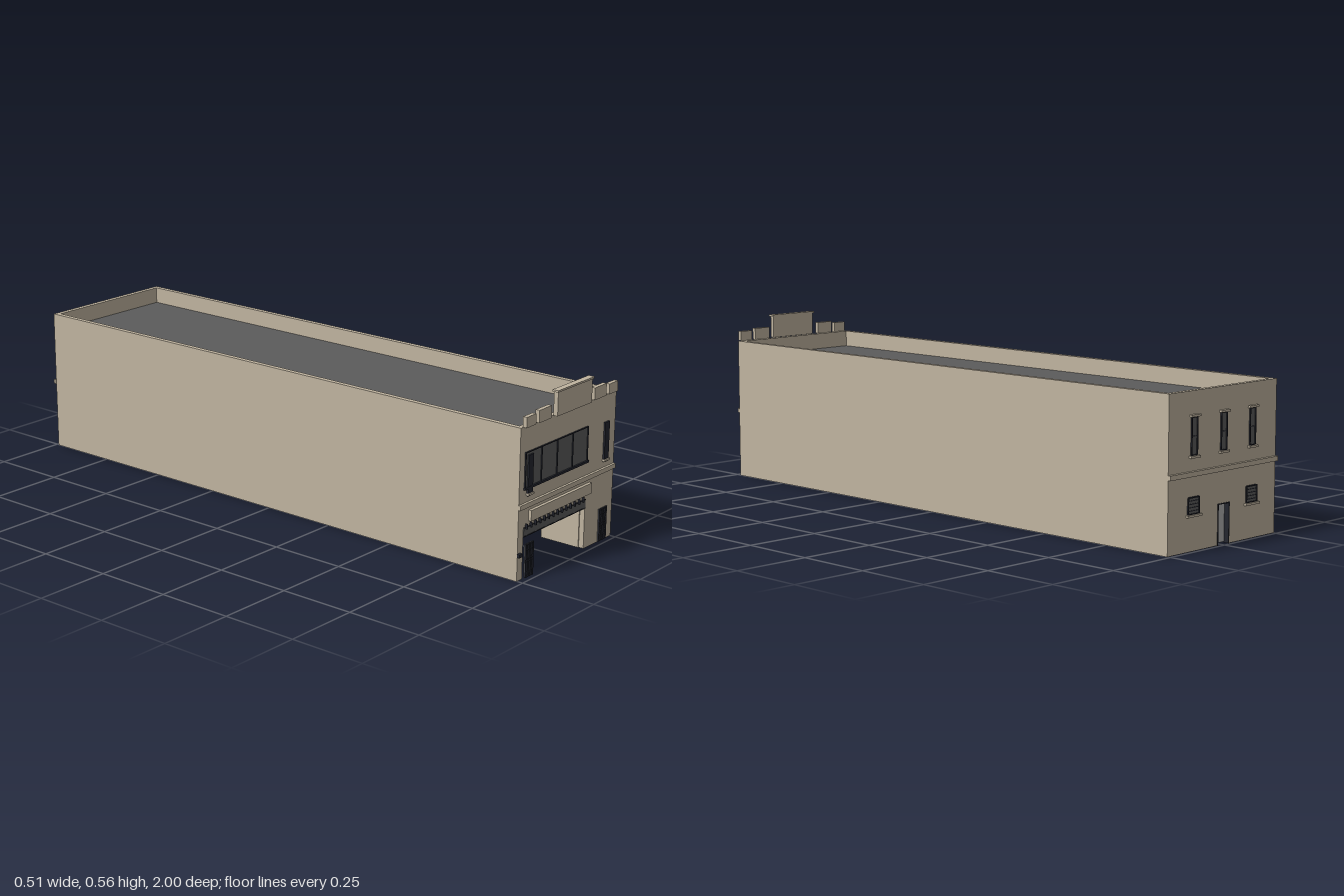
import * as THREE from 'three';

const mat = (name, color, extra = {}) => {
  const m = new THREE.MeshStandardMaterial({ color, ...extra });
  m.name = name;
  return m;
};

export function createModel() {
  const root = new THREE.Group();
  root.name = 'building';
  const plaster = mat('beigePlaster', 0xc0b4a0);
  const grey = mat('darkGrey', 0x5c5c5c);
  const light = mat('lightGreyInterior', 0xb2b2b2, { side: THREE.DoubleSide });
  const dark = mat('darkFrame', 0x23252e);

  const add = (name, geo, m, parent = root) => {
    const mesh = new THREE.Mesh(geo, m);
    mesh.name = name;
    parent.add(mesh);
    return mesh;
  };
  // Box given by its lower and upper limits on each axis
  const box = (name, m, x0, x1, y0, y1, z0, z1, parent = root) => {
    const b = add(name, new THREE.BoxGeometry(x1 - x0, y1 - y0, z1 - z0), m, parent);
    b.position.set((x0 + x1) / 2, (y0 + y1) / 2, (z0 + z1) / 2);
    return b;
  };
  const group = (name) => {
    const g = new THREE.Group();
    g.name = name;
    root.add(g);
    return g;
  };

  const W = 0.253, H = 0.478, T = 0.017, ROOF = 0.42, ZF = 0.98, ZB = -0.99;

  // End wall outline with an opening cut up from the ground
  const wallShape = (w, h, x0, x1, top) => new THREE.Shape([
    [-w, 0], [x0, 0], [x0, top], [x1, top], [x1, 0], [w, 0], [w, h], [-w, h],
  ].map(([x, y]) => new THREE.Vector2(x, y)));
  const endWall = (name, z, linerZ, x0, x1, top) => {
    const geo = new THREE.ExtrudeGeometry(wallShape(W, H, x0, x1, top), { depth: T, bevelEnabled: false });
    add(name, geo, plaster).position.z = z;
    const liner = new THREE.ShapeGeometry(wallShape(W - T, ROOF, x0, x1, top));
    add(name + 'Lining', liner, light).position.z = linerZ;
  };
  endWall('frontWall', ZF - T, ZF - T - 0.001, -0.226, 0.101, 0.163);
  endWall('backWall', ZB, ZB + T + 0.001, -0.03, 0.022, 0.125);

  // Long side walls and their interior lining
  for (const s of [-1, 1]) {
    const side = box('sideWall', plaster, -T / 2, T / 2, 0, H, ZB + T, ZF - T);
    side.position.x = s * (W - T / 2);
    const lining = box('sideLining', light, -0.0005, 0.0005, 0.0005, ROOF, ZB + T, ZF - T);
    lining.position.x = s * (W - T - 0.0005);
  }
  box('roof', grey, -W + T, W - T, ROOF, ROOF + 0.004, ZB + T, ZF - T);
  box('ceiling', light, -W + T, W - T, ROOF - 0.004, ROOF - 0.001, ZB + T, ZF - T);

  // Stepped parapet blocks along the front
  const parapet = group('parapet');
  for (const s of [-1, 1]) {
    for (const [x, w, top] of [[0.2175, 0.048, 0.511], [0.146, 0.064, 0.517]]) {
      box('parapetBlock', plaster, s * x - w / 2, s * x + w / 2, H, top, 0.978, 0.992, parapet);
    }
  }
  box('parapetCentre', plaster, -0.091, 0.091, H, 0.553, 0.982, 0.997, parapet);
  box('parapetCap', plaster, -0.096, 0.096, 0.553, 0.559, 0.979, 1, parapet);

  // Horizontal bands and sign board
  box('frontBand', plaster, -0.254, 0.254, 0.225, 0.24, ZF, 0.988);
  box('backBand', plaster, -0.254, 0.254, 0.225, 0.24, -1, ZB);
  box('signBoard', plaster, -0.201, 0.121, 0.178, 0.212, ZF, 0.99);

  // Wide front window
  const win = group('frontWindow');
  box('glass', grey, -0.226, 0.1, 0.286, 0.397, ZF, 0.981, win);
  box('topFrame', dark, -0.228, 0.101, 0.395, 0.398, ZF, 0.984, win);
  box('sill', dark, -0.231, 0.103, 0.282, 0.289, ZF, 0.987, win);
  for (const x of [-0.2265, -0.1445, -0.063, 0.0185, 0.0995]) {
    box('mullion', dark, x - 0.0017, x + 0.0017, 0.286, 0.397, ZF, 0.984, win);
  }

  // Narrow dark panels with small sills, and barred panels at street level
  for (const s of [-1, 1]) {
    const x = s * 0.2025;
    const panel = group('narrowWindow');
    box('panel', dark, x - 0.012, x + 0.012, 0.259, 0.387, ZF, 0.986, panel);
    box('panelSill', plaster, x - 0.014, x + 0.014, 0.262, 0.268, ZF, 0.99, panel);

    const gx = s * 0.197 + 0.0005, g = group('barredPanel');
    box('backing', grey, gx - 0.02, gx + 0.02, 0.003, 0.108, 0.979, 0.982, g);
    for (let i = 0; i < 6; i++) {
      const bx = gx - 0.019 + i * 0.0076;
      box('bar', dark, bx - 0.0013, bx + 0.0013, 0.002, 0.109, 0.982, 0.986, g);
    }
    for (const y of [0.004, 0.021, 0.053, 0.061, 0.09, 0.106]) {
      box('rail', dark, gx - 0.02, gx + 0.02, y - 0.0012, y + 0.0012, 0.982, 0.986, g);
    }
  }

  // Entrance: rolled shutter, row of spikes, inner side walls
  const entry = group('entrance');
  box('shutter', grey, -0.226, 0.101, 0.135, 0.162, 0.972, 0.982, entry);
  box('shutterRail', dark, -0.226, 0.101, 0.133, 0.136, 0.972, 0.983, entry);
  box('shutterTop', dark, -0.226, 0.101, 0.16, 0.163, 0.972, 0.983, entry);
  for (let i = 0; i < 14; i++) {
    const x = -0.215 + i * 0.0231;
    box('spike', dark, x - 0.0013, x + 0.0013, 0.157, 0.173, ZF, 0.988, entry);
  }
  box('rightJamb', plaster, -0.229, -0.223, 0, 0.135, 0.825, ZF - T, entry);
  box('leftJamb', plaster, 0.098, 0.104, 0, 0.135, 0.825, ZF - T, entry);
  box('jambPanel', grey, -0.223, -0.222, 0.03, 0.11, 0.845, 0.945, entry);
  box('wallBox', dark, -0.255, -0.24, 0.077, 0.088, ZF, 0.99);

  // Back door set into its opening
  const door = group('backDoor');
  box('doorLeaf', light, -0.03, 0.022, 0.003, 0.125, -0.974, -0.971, door);
  for (const x of [-0.03, 0.022]) {
    box('doorJamb', dark, x - 0.0015, x + 0.0015, 0, 0.125, -0.992, -0.972, door);
  }
  box('doorHead', dark, -0.0315, 0.0235, 0.1235, 0.1265, -0.992, -0.972, door);

  // Back windows: three tall ones above, two small barred ones below
  const backWindow = (x, w, y0, y1, bars) => {
    const g = group('backWindow');
    box('glass', grey, x - w / 2, x + w / 2, y0, y1, -0.991, ZB, g);
    for (const s of [-1, 1]) {
      const fx = x + s * w / 2;
      box('frame', dark, fx - 0.002, fx + 0.002, y0, y1, -0.994, ZB, g);
    }
    for (const y of [y0, y1]) box('frame', dark, x - w / 2, x + w / 2, y - 0.002, y + 0.002, -0.994, ZB, g);
    for (let i = 1; i <= bars; i++) {
      const y = y0 + (y1 - y0) * i / (bars + 1);
      box('bar', dark, x - w / 2, x + w / 2, y - 0.001, y + 0.001, -0.993, ZB, g);
    }
    box('sill', plaster, x - w / 2 - 0.008, x + w / 2 + 0.008, y0 - 0.008, y0 - 0.001, -0.999, ZB, g);
    return g;
  };
  for (const x of [0.138, 0.001, -0.136]) {
    const g = backWindow(x, 0.026, 0.287, 0.4, 1);
    box('lintel', plaster, x - 0.021, x + 0.021, 0.401, 0.408, -0.999, ZB, g);
  }
  for (const x of [0.138, -0.136]) backWindow(x, 0.05, 0.112, 0.162, 4);

  return root;
}
